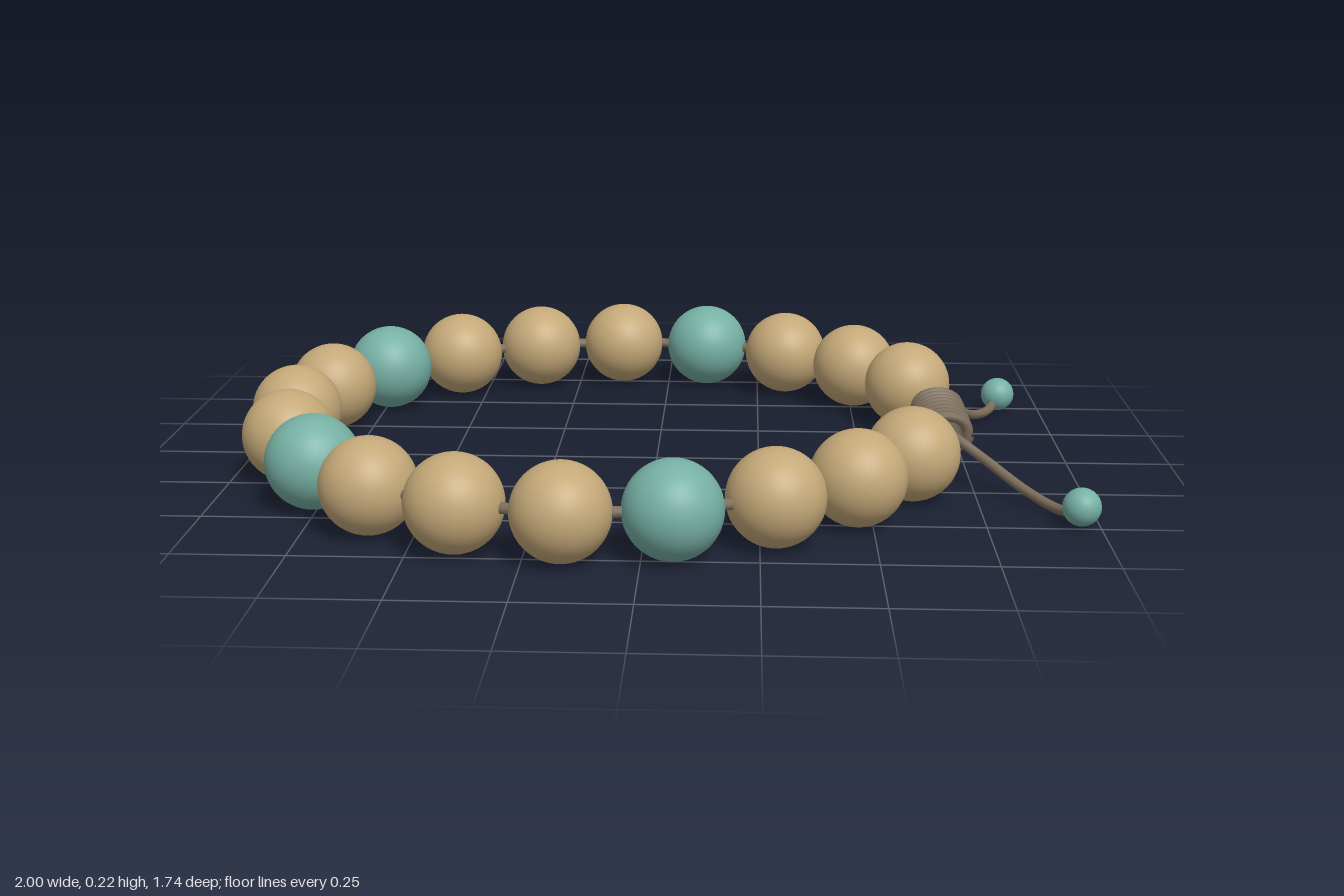
import * as THREE from 'three';

export function createModel() {
  const model = new THREE.Group();
  const mat = (name, color) => {
    const m = new THREE.MeshStandardMaterial({ color });
    m.name = name;
    return m;
  };
  const wood = mat('tan wood', 0xc4a878);
  const teal = mat('teal stone', 0x76b0a4);
  const cordMat = mat('brown cord', 0x7a6c5a);

  const add = (name, geometry, material, pos = [0, 0, 0]) => {
    const mesh = new THREE.Mesh(geometry, material);
    mesh.name = name;
    mesh.position.set(...pos);
    model.add(mesh);
    return mesh;
  };
  const vec = (p) => new THREE.Vector3(...p);

  // Main beads, strung round the loop as [x, z]; every fourth one is teal
  const beadY = 0.113;
  const beads = [
    [0.636, -0.33], [0.508, -0.527], [0.326, -0.668], [0.107, -0.749], [-0.128, -0.765],
    [-0.358, -0.719], [-0.567, -0.615], [-0.738, -0.455], [-0.85, -0.249], [-0.893, -0.019],
    [-0.861, 0.214], [-0.757, 0.425], [-0.599, 0.596], [-0.396, 0.709], [-0.166, 0.757],
    [0.067, 0.733], [0.283, 0.639], [0.465, 0.492], [0.599, 0.302],
  ];
  const beadGeo = new THREE.SphereGeometry(0.109, 40, 28);
  beads.forEach(([x, z], i) => {
    const accent = i % 4 === 3;
    add(accent ? 'tealBead' : 'woodBead', beadGeo, accent ? teal : wood, [x, beadY, z]);
  });

  // Stringing cord through the beads and the knot
  const knot = { x: 0.695, y: 0.106, z: -0.015 };
  const loop = beads.map(([x, z]) => vec([x, beadY, z]));
  loop.push(vec([0.675, 0.11, 0.13]), vec([0.69, 0.106, -0.015]), vec([0.675, 0.11, -0.19]));
  const loopCurve = new THREE.CatmullRomCurve3(loop, true);
  add('stringingCord', new THREE.TubeGeometry(loopCurve, 220, 0.013, 10, true), cordMat);

  // Wrapped sliding knot: an oval helix along z
  const turns = 8;
  const coil = [];
  for (let i = 0; i <= turns * 16; i++) {
    const t = i / (turns * 16);
    const a = t * turns * Math.PI * 2;
    coil.push(vec([
      knot.x + 0.054 * Math.cos(a),
      knot.y + 0.038 * Math.sin(a),
      knot.z + (t - 0.5) * 0.255,
    ]));
  }
  const coilCurve = new THREE.CatmullRomCurve3(coil);
  add('knotCoil', new THREE.TubeGeometry(coilCurve, turns * 28, 0.013, 8), cordMat);

  // Loose tails drooping out of the knot, each with a small end bead
  const tails = [
    [[0.70, 0.106, 0.02], [0.695, 0.12, 0.135], [0.775, 0.075, 0.215], [0.865, 0.03, 0.325],
      [0.93, 0.022, 0.43], [0.957, 0.05, 0.484]],
    [[0.70, 0.106, -0.05], [0.695, 0.12, -0.155], [0.75, 0.075, -0.24], [0.81, 0.03, -0.34],
      [0.865, 0.022, -0.432], [0.89, 0.05, -0.479]],
  ];
  const endGeo = new THREE.SphereGeometry(0.043, 28, 20);
  for (const points of tails) {
    const curve = new THREE.CatmullRomCurve3(points.map(vec));
    add('cordTail', new THREE.TubeGeometry(curve, 48, 0.012, 10), cordMat);
    add('endBead', endGeo, teal, points[points.length - 1]);
  }

  return model;
}
